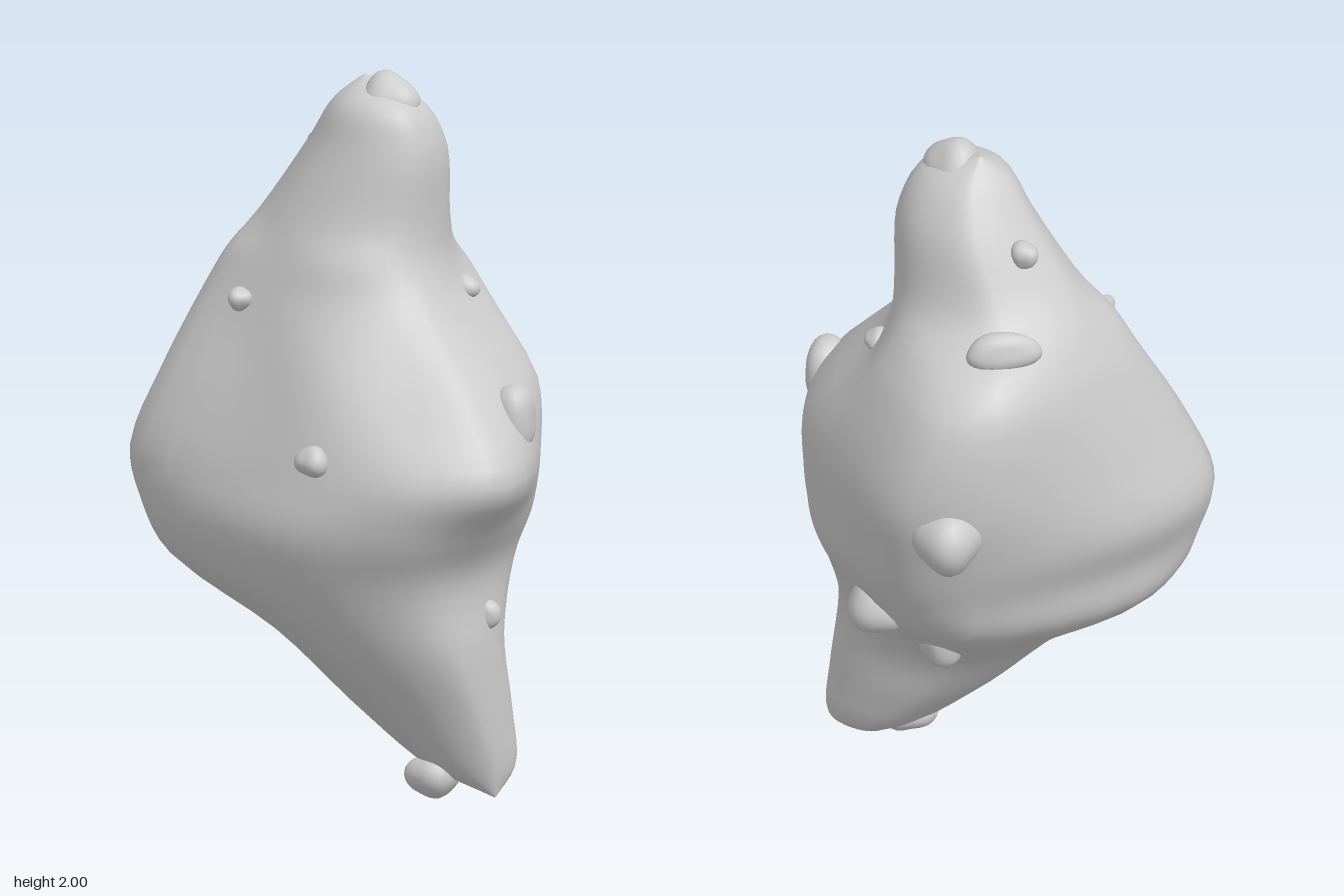
import * as THREE from 'three';
import { mergeVertices } from 'three/addons/utils/BufferGeometryUtils.js';

const material = new THREE.MeshStandardMaterial({ color: 0xcccccc, roughness: 0.9 });

// Directions of the ten ridges and hollows, in degrees from +x towards +z
const ANGLES = [-20, 20, 55, 105, 130, 160, 195, 230, 255, 315].map(THREE.MathUtils.degToRad);
const AROUND = 40, ALONG = 56;

// Smooth closed loop through one point per direction
function loop(y, cx, cz, radiusX, radiusZ) {
  const points = ANGLES.map((a, i) =>
    new THREE.Vector3(cx + radiusX(i) * Math.cos(a), y, cz + radiusZ(i) * Math.sin(a)));
  const curve = new THREE.CatmullRomCurve3(points, true, 'centripetal');
  return Array.from({ length: AROUND }, (_, i) => curve.getPoint(i / AROUND));
}
const oval = (y, cx, cz, rx, rz) => loop(y, cx, cz, () => rx, () => rz);
const ridged = (y, cz, ...radii) => loop(y, 0, cz, (i) => radii[i], (i) => radii[i]);

// Main boulder, skinned from the lower tip over the ridged middle to the peak
function bodyGeometry() {
  const rows = [
    oval(0.02, 0.035, 0.375, 0.001, 0.001),
    oval(0.1, 0.055, 0.265, 0.12, 0.13),
    oval(0.25, 0.01, 0.175, 0.19, 0.23),
    oval(0.46, -0.06, 0.075, 0.28, 0.335),
    ridged(0.66, 0, 0.38, 0.33, 0.36, 0.41, 0.46, 0.46, 0.48, 0.59, 0.53, 0.41),
    ridged(0.8, 0, 0.46, 0.40, 0.41, 0.50, 0.53, 0.50, 0.52, 0.66, 0.56, 0.46),
    ridged(0.95, 0, 0.51, 0.42, 0.43, 0.62, 0.56, 0.48, 0.49, 0.69, 0.615, 0.51),
    ridged(1.15, 0, 0.55, 0.42, 0.42, 0.49, 0.43, 0.42, 0.42, 0.61, 0.56, 0.56),
    ridged(1.4, -0.08, 0.48, 0.35, 0.285, 0.34, 0.33, 0.32, 0.33, 0.42, 0.39, 0.48),
    ridged(1.5, -0.08, 0.39, 0.28, 0.25, 0.28, 0.29, 0.29, 0.29, 0.36, 0.34, 0.42),
    oval(1.6, -0.01, -0.09, 0.235, 0.27),
    oval(1.8, 0, -0.02, 0.17, 0.2),
    oval(1.92, -0.015, -0.005, 0.11, 0.13),
    oval(1.985, -0.01, -0.06, 0.001, 0.001),
  ];
  const positions = [], index = [];
  for (let i = 0; i < AROUND; i++) {
    const column = new THREE.CatmullRomCurve3(rows.map((row) => row[i]), false, 'centripetal');
    for (let j = 0; j <= ALONG; j++) positions.push(...column.getPoint(j / ALONG).toArray());
  }
  for (let i = 0; i < AROUND; i++) {
    for (let j = 0; j < ALONG; j++) {
      const a = i * (ALONG + 1) + j, b = ((i + 1) % AROUND) * (ALONG + 1) + j;
      index.push(a, a + 1, b, a + 1, b + 1, b);
    }
  }
  const geometry = new THREE.BufferGeometry();
  geometry.setAttribute('position', new THREE.Float32BufferAttribute(positions, 3));
  geometry.setIndex(index);
  geometry.computeVertexNormals();
  return geometry;
}

// Lumpy stone: a sphere dented by a few waves
function stoneGeometry(radius, seed) {
  const sphere = new THREE.IcosahedronGeometry(1, 4);
  sphere.deleteAttribute('uv');
  sphere.deleteAttribute('normal');
  const geometry = mergeVertices(sphere);
  const p = geometry.attributes.position, v = new THREE.Vector3();
  for (let i = 0; i < p.count; i++) {
    v.fromBufferAttribute(p, i);
    const lumps = Math.sin(2.6 * v.x + seed * 1.7) + Math.sin(3.1 * v.y + seed * 2.3)
      + Math.sin(3.4 * v.z + v.x + seed * 3.1);
    v.multiplyScalar(radius * (1 + 0.08 * lumps));
    p.setXYZ(i, v.x, v.y, v.z);
  }
  geometry.computeVertexNormals();
  return geometry;
}

export function createModel() {
  const group = new THREE.Group();
  group.name = 'asteroid';
  const add = (name, geometry) => {
    const mesh = new THREE.Mesh(geometry, material);
    mesh.name = name;
    group.add(mesh);
    return mesh;
  };
  const addStone = (name, x, y, z, radius) => {
    const stone = add(name, stoneGeometry(radius, group.children.length));
    stone.position.set(x, y, z);
    return stone;
  };

  add('body', bodyGeometry());

  // Larger stones half sunk in the surface
  addStone('peakStone', -0.005, 1.925, 0.03, 0.078);
  addStone('frontStone', 0.02, 1.095, 0.45, 0.075).scale.y = 1.2;
  addStone('sideStone', 0.42, 1.06, -0.31, 0.095).scale.y = 1.15;
  addStone('lowerSideStone', 0.315, 0.67, 0.02, 0.082);
  addStone('lowerBackStone', 0.22, 0.555, -0.11, 0.07);
  addStone('bottomStone', -0.03, 0.07, 0.21, 0.07);
  const shoulder = addStone('shoulderStone', 0.2, 1.57, -0.32, 0.055);
  shoulder.scale.x = 1.8;
  shoulder.rotation.y = -0.8;

  // Pebbles
  addStone('upperBackPebble', 0.02, 1.755, -0.245, 0.037);
  addStone('upperFrontPebble', 0.17, 1.39, 0.155, 0.037);
  addStone('middleFrontPebble', 0.345, 1.005, 0.16, 0.037);
  addStone('upperSidePebble', -0.355, 1.39, -0.21, 0.033);
  addStone('middleSidePebble', -0.455, 1.01, 0.14, 0.043);
  addStone('lowerFrontPebble', 0.02, 0.535, 0.37, 0.037);
  return group;
}
